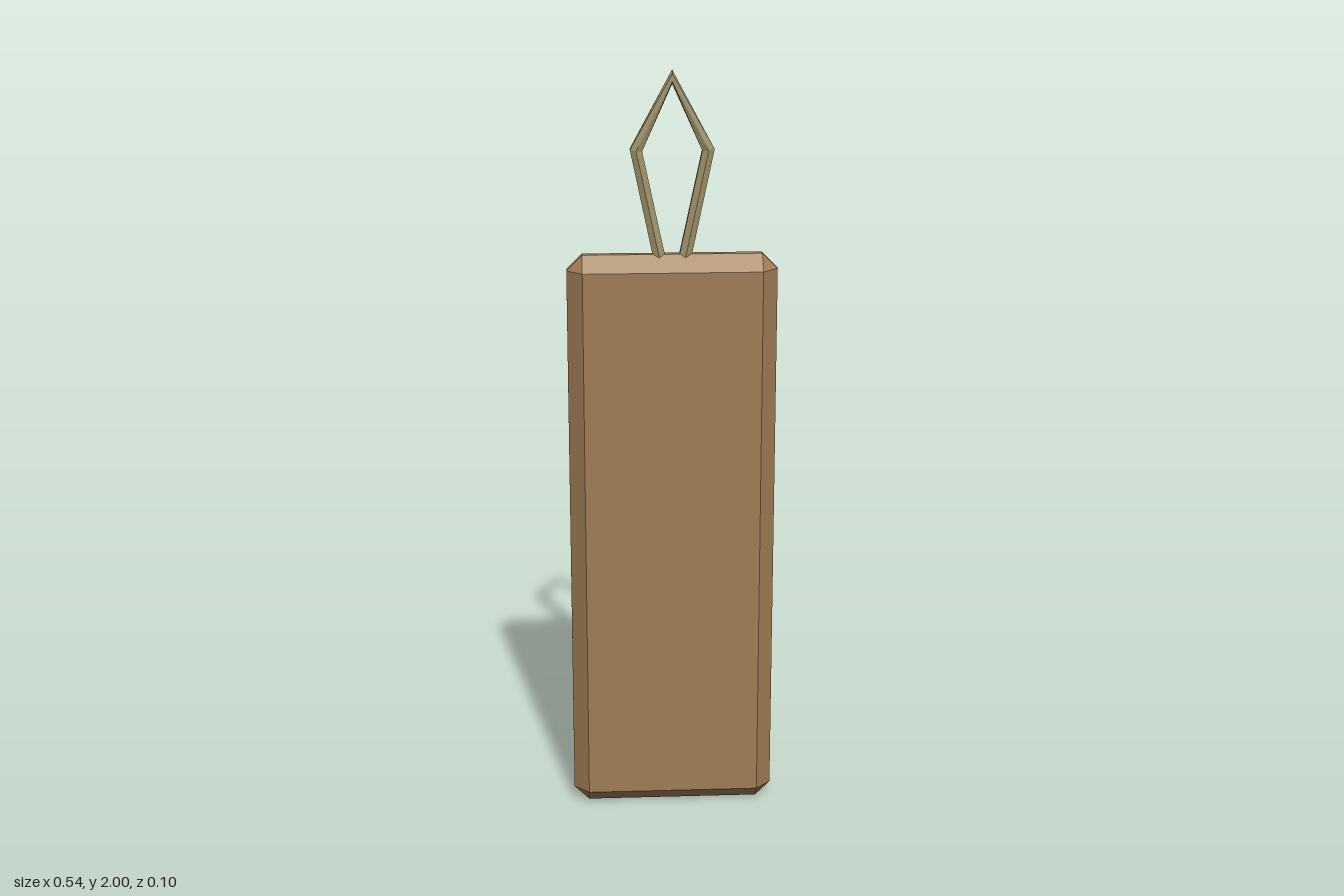
import * as THREE from 'three';
import { ConvexGeometry } from 'three/addons/geometries/ConvexGeometry.js';

// Box with every edge cut at 45 degrees, centred on the origin
function chamferedBox(hx, hy, hz, c) {
  const points = [];
  for (const x of [-1, 1]) for (const y of [-1, 1]) for (const z of [-1, 1]) {
    points.push(
      new THREE.Vector3(x * hx, y * (hy - c), z * (hz - c)),
      new THREE.Vector3(x * (hx - c), y * hy, z * (hz - c)),
      new THREE.Vector3(x * (hx - c), y * (hy - c), z * hz));
  }
  return new ConvexGeometry(points);
}

// Six-sided cord through points [x, y, twist] in the plane z = 0
function cordGeometry(path, radius, sides = 6) {
  const positions = [], index = [];
  const dir = (a, b) => new THREE.Vector2(b[0] - a[0], b[1] - a[1]).normalize();
  path.forEach((p, i) => {
    const t = new THREE.Vector2();
    if (i > 0) t.add(dir(path[i - 1], p));
    if (i < path.length - 1) t.add(dir(p, path[i + 1]));
    t.normalize();
    for (let j = 0; j < sides; j++) {
      const a = p[2] + j / sides * Math.PI * 2;
      const out = Math.cos(a) * radius;
      positions.push(p[0] - t.y * out, p[1] + t.x * out, Math.sin(a) * radius);
      if (i < path.length - 1) {
        const q = i * sides + j, r = i * sides + (j + 1) % sides;
        index.push(q, r, q + sides, r, r + sides, q + sides);
      }
    }
  });
  const g = new THREE.BufferGeometry();
  g.setAttribute('position', new THREE.Float32BufferAttribute(positions, 3));
  g.setIndex(index);
  const flat = g.toNonIndexed();
  flat.computeVertexNormals();
  return flat;
}

export function createModel() {
  const wood = new THREE.MeshStandardMaterial({ color: 0x9f7c54 });
  wood.name = 'brown wood';
  const twine = new THREE.MeshStandardMaterial({ color: 0xa0936a });
  twine.name = 'tan twine';

  const group = new THREE.Group();
  group.name = 'hangingTag';

  // Bevelled board
  const board = new THREE.Mesh(chamferedBox(0.27, 0.7675, 0.05, 0.04), wood);
  board.name = 'board';
  board.position.y = 0.7675;
  group.add(board);

  // Hanging loop, its strand turning one facet over the peak; ends sit inside the board
  const s = Math.PI / 6;
  const loop = new THREE.Mesh(cordGeometry([
    [-0.021, 1.47, s],
    [-0.091, 1.8, s],
    [0, 1.982, 2 * s],
    [0.091, 1.8, 3 * s],
    [0.021, 1.47, 3 * s],
  ], 0.018), twine);
  loop.name = 'hangingLoop';
  group.add(loop);

  return group;
}
